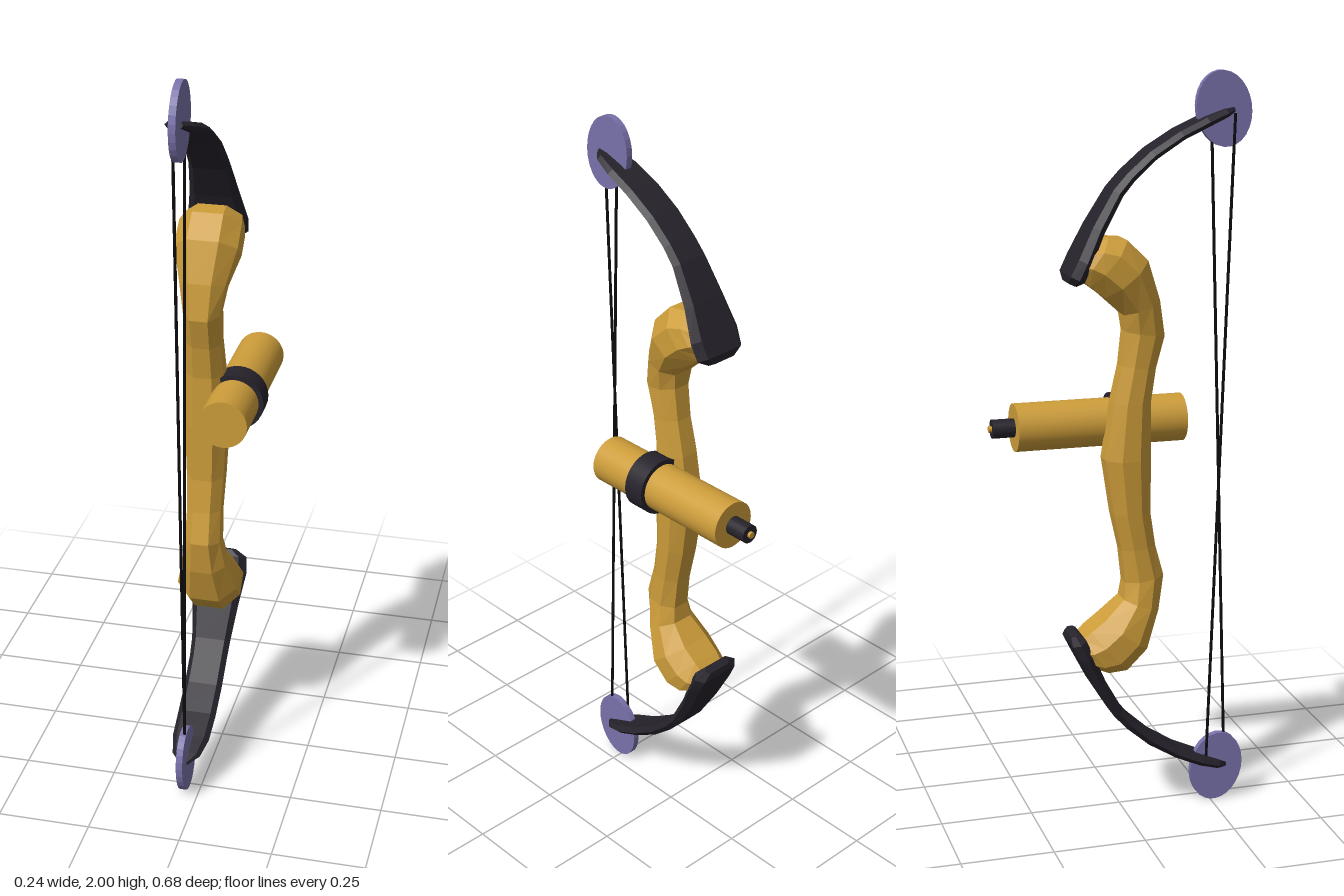
import * as THREE from 'three';

const CX = -0.038; // centre plane of the bow
const mat = (color, extra = {}) => new THREE.MeshStandardMaterial({ color, ...extra });
const gold = mat(0xcc9c3a, { flatShading: true });
const dark = mat(0x26222b, { flatShading: true });
const purple = mat(0x7872aa, { flatShading: true });
const stringMat = mat(0x0c0c0e);
const goldSmooth = mat(0xcc9c3a);
const darkSmooth = mat(0x26222b);

function add(parent, name, geometry, material) {
  const mesh = new THREE.Mesh(geometry, material);
  mesh.name = name;
  parent.add(mesh);
  return mesh;
}

// Loft through sections [frontZ, frontY, backZ, backY, halfWidth], ordered upward.
// ring: [across, depth] factors, counter-clockwise seen from above.
function loft(sections, ring) {
  const pos = [], idx = [], n = ring.length;
  for (const [fz, fy, bz, by, w] of sections) {
    for (const [u, v] of ring) {
      pos.push(CX + u * w, (fy + by) / 2 + v * (fy - by) / 2, (fz + bz) / 2 + v * (fz - bz) / 2);
    }
  }
  for (let i = 0; i < sections.length - 1; i++) {
    for (let j = 0; j < n; j++) {
      const k = (j + 1) % n, a = i * n, b = a + n;
      idx.push(a + j, a + k, b + k, a + j, b + k, b + j);
    }
  }
  const top = (sections.length - 1) * n;
  for (let j = 1; j < n - 1; j++) idx.push(0, j + 1, j, top, top + j, top + j + 1);
  const g = new THREE.BufferGeometry();
  g.setAttribute('position', new THREE.Float32BufferAttribute(pos, 3));
  g.setIndex(idx);
  g.computeVertexNormals();
  return g;
}

const octagon = [[-0.5, 1], [0.5, 1], [1, 0.4], [1, -0.4], [0.5, -1], [-0.5, -1], [-1, -0.4], [-1, 0.4]];
const bladeRing = [[-0.75, 1], [0.75, 1], [1, 0], [0.75, -1], [-0.75, -1], [-1, 0]];

// Cylinder lying along z between two depths
function zCylinder(r, z0, z1, segments) {
  return new THREE.CylinderGeometry(r, r, Math.abs(z1 - z0), segments)
    .rotateX(Math.PI / 2).translate(0.044, 1.08, (z0 + z1) / 2);
}

export function createModel() {
  const model = new THREE.Group();
  model.name = 'compoundBow';

  // Riser: upper half mirrored about y = 1
  const upper = [
    [0.068, 1.15, -0.032, 1.15, 0.05],
    [0.082, 1.24, -0.01, 1.25, 0.046],
    [0.105, 1.325, 0, 1.34, 0.048],
    [0.09, 1.42, -0.006, 1.385, 0.06],
    [0.055, 1.525, -0.06, 1.435, 0.083],
    [0, 1.58, -0.1, 1.465, 0.082],
    [-0.05, 1.585, -0.122, 1.485, 0.074],
    [-0.09, 1.57, -0.132, 1.495, 0.06],
  ];
  const lower = upper.map(([a, b, c, d, w]) => [a, 2 - b, c, 2 - d, w]).reverse();
  add(model, 'riser', loft([...lower, [0.068, 1, -0.054, 1, 0.056], ...upper], octagon), gold);

  // Limbs: centre line z, y, half thickness, half width
  const limbPath = [
    [-0.143, 1.47, 0.011, 0.045],
    [-0.136, 1.487, 0.02, 0.076],
    [-0.116, 1.53, 0.019, 0.08],
    [-0.078, 1.61, 0.017, 0.066],
    [-0.025, 1.7, 0.015, 0.055],
    [0.01, 1.74, 0.014, 0.053],
    [0.07, 1.793, 0.013, 0.053],
    [0.145, 1.84, 0.012, 0.053],
    [0.215, 1.872, 0.012, 0.051],
    [0.268, 1.892, 0.01, 0.038],
    [0.294, 1.9, 0.006, 0.014],
  ];
  function limbGeometry(path) {
    const sections = path.map(([z, y, h, w], i) => {
      const a = path[Math.max(i - 1, 0)], b = path[Math.min(i + 1, path.length - 1)];
      const len = Math.hypot(b[0] - a[0], b[1] - a[1]);
      const nz = h * (b[1] - a[1]) / len, ny = -h * (b[0] - a[0]) / len;
      return [z + nz, y + ny, z - nz, y - ny, w];
    });
    return loft(sections, bladeRing);
  }
  add(model, 'upperLimb', limbGeometry(limbPath), dark);
  add(model, 'lowerLimb', limbGeometry(limbPath.map(([z, y, h, w]) => [z, 2 - y, h, w]).reverse()), dark);

  // Oval cams at the limb tips
  for (const s of [1, -1]) {
    const cam = new THREE.CylinderGeometry(1, 1, 0.018, 28).rotateZ(Math.PI / 2)
      .scale(1, 0.098, 0.074).rotateX(-s * 0.17).translate(-0.04, 1 + s * 0.902, 0.266);
    add(model, s > 0 ? 'upperCam' : 'lowerCam', cam, purple);
  }

  // Crossing strings
  for (const [x, z0, z1] of [[-0.05, 0.235, 0.295], [-0.036, 0.293, 0.235]]) {
    const line = new THREE.LineCurve3(new THREE.Vector3(x, 0.11, z0), new THREE.Vector3(x, 1.89, z1));
    add(model, 'bowString', new THREE.TubeGeometry(line, 1, 0.004, 6), stringMat);
  }

  // Stabilizer tube with clamp ring and end rod
  const stabilizer = new THREE.Group();
  stabilizer.name = 'stabilizer';
  model.add(stabilizer);
  add(stabilizer, 'stabilizerTube', zCylinder(0.064, 0.185, -0.275, 32), goldSmooth);
  add(stabilizer, 'clampRing', zCylinder(0.077, 0.046, -0.015, 32), darkSmooth);
  add(stabilizer, 'endRod', zCylinder(0.025, -0.27, -0.335, 20), darkSmooth);
  add(stabilizer, 'rodTip', zCylinder(0.009, -0.33, -0.343, 12), goldSmooth);

  return model;
}
